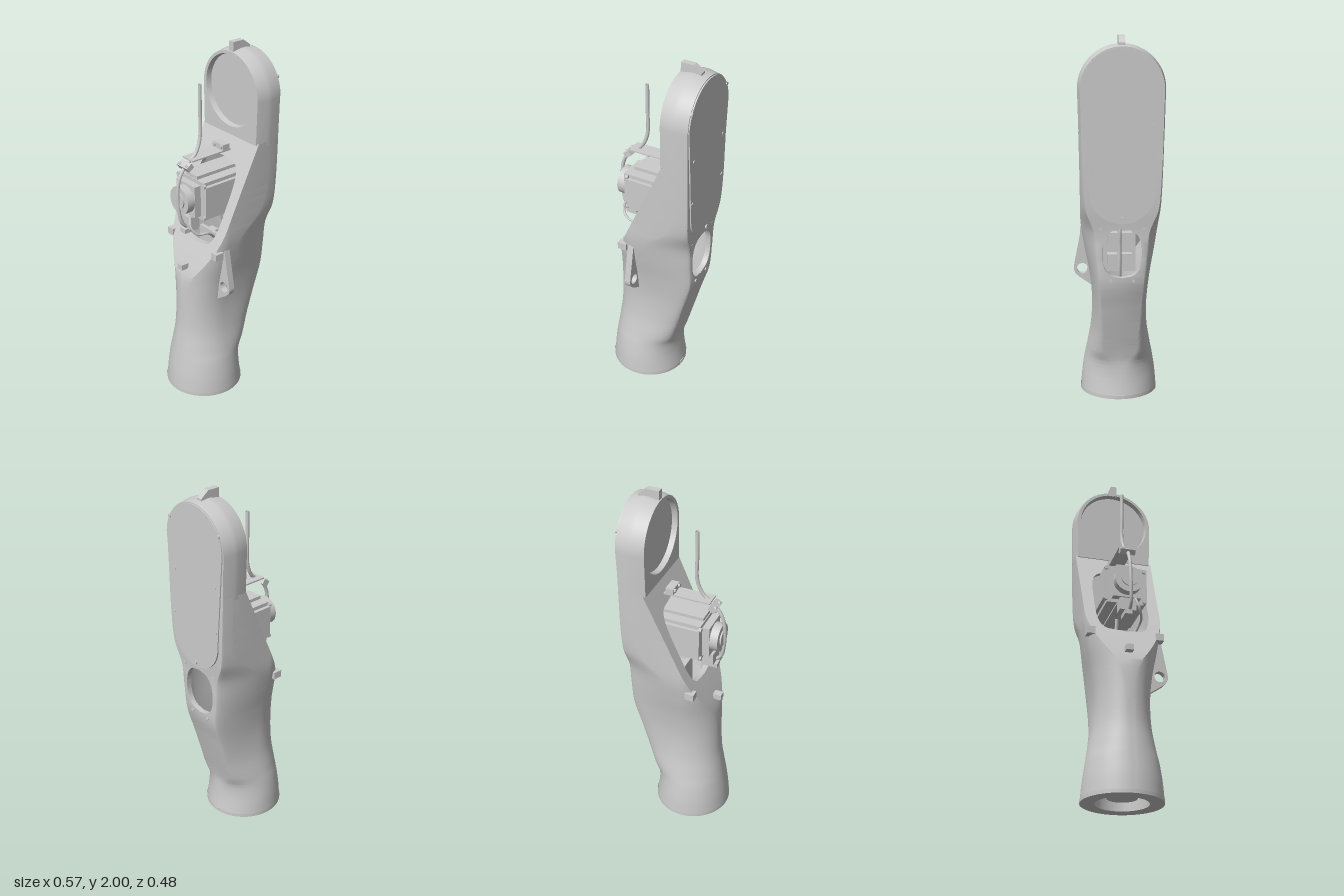
import * as THREE from 'three';
import { toCreasedNormals } from 'three/addons/utils/BufferGeometryUtils.js';

const grey = new THREE.MeshStandardMaterial({ color: 0xcccccc });
const greyDouble = new THREE.MeshStandardMaterial({ color: 0xcccccc, side: THREE.DoubleSide });
const ZC = -0.01; // depth of the symmetry plane

// Body outline by height: y, back x, front x, back curve centre x, half width,
// front corner exponent, half width of the flat front, x where the front corner starts
const rows = [
  [0, -0.285, 0.145, -0.07, 0.215, 2, 0, -0.07], [0.1, -0.277, 0.131, -0.07, 0.207, 2, 0, -0.07],
  [0.2, -0.264, 0.125, -0.07, 0.192, 2, 0.03, -0.07], [0.27, -0.254, 0.136, -0.06, 0.178, 2, 0.08, -0.06],
  [0.4, -0.237, 0.17, -0.05, 0.156, 2, 0.095, -0.05], [0.55, -0.231, 0.21, -0.05, 0.15, 2, 0.105, -0.04],
  [0.7, -0.228, 0.25, -0.05, 0.165, 1.7, 0.115, -0.02], [0.85, -0.226, 0.255, -0.06, 0.193, 1.5, 0.13, -0.01],
  [0.98, -0.225, 0.256, -0.06, 0.212, 1.4, 0.145, 0.02], [1.1, -0.225, 0.265, -0.06, 0.214, 1.3, 0.19, 0.15],
  [1.25, -0.225, 0.27, -0.06, 0.217, 1.2, 0.204, 0.2], [1.5, -0.225, 0.27, -0.06, 0.224, 1.1, 0.213, 0.205],
];

// Smooth interpolation of the outline table
function outline(y) {
  let k = 0;
  while (k < rows.length - 2 && y > rows[k + 1][0]) k++;
  const a = rows[k], b = rows[k + 1], h = b[0] - a[0], s = (y - a[0]) / h;
  const p = rows[Math.max(k - 1, 0)], n = rows[Math.min(k + 2, rows.length - 1)];
  return a.map((v, i) => {
    const m0 = (b[i] - p[i]) / (b[0] - p[0]) * h, m1 = (n[i] - v) / (n[0] - a[0]) * h;
    return v + s * m0 + s * s * (3 * (b[i] - v) - 2 * m0 - m1) + s * s * s * (2 * (v - b[i]) + m0 + m1);
  });
}

// Half width of an opening between two heights
function opening(y, y0, y1, half, n) {
  const u = Math.abs((2 * y - y0 - y1) / (y1 - y0));
  return u >= 0.999 ? 0 : half * Math.pow(1 - Math.pow(u, n), 1 / n);
}
const windowAt = y => opening(y, 0.73, 1.0, 0.107, 2.4);
const pocketAt = y => opening(y, 0.93, 1.38, 0.15, 4);

// Half cross-section from the front window edge round to the slanted pocket edge
function section(y, inset) {
  let [, xl, xr, c, hw, n, f, cr] = outline(y);
  xl += inset; xr -= inset; hw -= inset;
  const w = windowAt(y), slant = -0.175 + (y - 0.84) * 0.453 + inset;
  const cut = (xl + slant + Math.sqrt((xl - slant) ** 2 + 0.0006)) / 2;
  c = Math.max(c, cut);
  cr = Math.max(cr - inset, c);
  f = Math.max(f - inset / 2, w + 0.003, 0);
  const pts = [[xr, w]], K = 14, L = 12;
  for (let i = 0; i <= K; i++) {
    const t = Math.PI / 2 * i / K;
    pts.push([cr + (xr - cr) * Math.pow(Math.max(Math.cos(t), 0), 2 / n), f + (hw - f) * Math.pow(Math.sin(t), 2 / n)]);
  }
  const end = Math.acos(Math.min(Math.max((c - cut) / (c - xl || 1), 0), 1));
  for (let i = 0; i <= L; i++) {
    const t = Math.PI / 2 + (end - Math.PI / 2) * i / L;
    pts.push([c - (c - xl) * Math.cos(t), hw * Math.sin(t)]);
  }
  pts.push([cut, Math.min(pocketAt(y), pts[pts.length - 1][1])]);
  return pts;
}

// Hollow body: outer and inner skins with rims round both openings
function bodyGeometry() {
  const pos = [], N = 150;
  const quad = (a, b, c, d, flip) => {
    for (const v of flip ? [a, c, b, b, c, d] : [a, b, c, b, d, c]) pos.push(...v);
  };
  for (const s of [1, -1]) {
    const skin = inset => Array.from({ length: N + 1 }, (_, i) =>
      section(i / 100, inset).map(([x, z]) => [x, i / 100, ZC + s * z]));
    const outer = skin(0), inner = skin(0.03), last = outer[0].length - 1;
    for (let i = 0; i < N; i++) {
      for (let j = 0; j < last; j++) {
        quad(outer[i][j], outer[i + 1][j], outer[i][j + 1], outer[i + 1][j + 1], s < 0);
        quad(inner[i][j], inner[i + 1][j], inner[i][j + 1], inner[i + 1][j + 1], s > 0);
      }
      const y = i / 100, y2 = (i + 1) / 100;
      if (windowAt(y) + windowAt(y2) > 0) quad(outer[i][0], outer[i + 1][0], inner[i][0], inner[i + 1][0], s > 0);
      if (pocketAt(y) + pocketAt(y2) > 0) quad(outer[i][last], outer[i + 1][last], inner[i][last], inner[i + 1][last], s < 0);
    }
  }
  const g = new THREE.BufferGeometry();
  g.setAttribute('position', new THREE.Float32BufferAttribute(pos, 3));
  return toCreasedNormals(g, 0.6);
}

export function createModel() {
  const model = new THREE.Group();
  const add = (name, geo, x = 0, y = 0, z = 0, mat = grey) => {
    const m = new THREE.Mesh(geo, mat);
    m.name = name;
    m.position.set(x, y, z);
    model.add(m);
    return m;
  };
  // Box given by its bounds
  const box = (name, x0, x1, y0, y1, z0, z1) => add(name,
    new THREE.BoxGeometry(x1 - x0, y1 - y0, z1 - z0), (x0 + x1) / 2, (y0 + y1) / 2, (z0 + z1) / 2);
  // Cylinder along x
  const rod = (name, r, x0, x1, y, z, sides = 32) => add(name,
    new THREE.CylinderGeometry(r, r, x1 - x0, sides).rotateZ(Math.PI / 2), (x0 + x1) / 2, y, z);
  // Outline drawn in (-z, y), extruded along x
  const slab = (name, shape, x0, x1, z = ZC, bevel = 0, run = 0) => add(name, toCreasedNormals(
    new THREE.ExtrudeGeometry(shape, {
      depth: x1 - x0 - 2 * run, curveSegments: 32, bevelEnabled: bevel > 0,
      bevelSize: bevel, bevelThickness: run, bevelSegments: 1,
    }).translate(0, 0, run).rotateY(Math.PI / 2), 0.5), x0, 0, z);

  add('body', bodyGeometry(), 0, 0, 0, greyDouble);

  // Mounting flange with recess and centre boss underneath
  const flange = [[0.216, 0.02], [0.216, 0], [0.14, 0], [0.14, 0.09], [0.08, 0.09], [0.08, 0.03], [0, 0.03]]
    .map(p => new THREE.Vector2(...p));
  add('baseFlange', toCreasedNormals(new THREE.LatheGeometry(flange, 48), 0.5), -0.07, 0, ZC, greyDouble);
  box('baseNotch', 0.13, 0.147, 0.003, 0.02, ZC - 0.02, ZC + 0.02);

  // Round head, dished on the back
  const head = new THREE.Shape();
  head.moveTo(-0.212, 1.49);
  head.lineTo(0.212, 1.49);
  head.lineTo(0.218, 1.73);
  head.absarc(0, 1.73, 0.218, 0, Math.PI, false);
  head.closePath();
  head.holes.push(new THREE.Path().absarc(0, 1.735, 0.198, 0, Math.PI * 2, true));
  slab('head', head, 0.115, 0.27, ZC, 0.012, 0.065);
  rod('headDishFloor', 0.204, 0.145, 0.2, 1.735, ZC, 48);

  // Tapered cover plate with its bolts
  const cover = new THREE.Shape();
  cover.absarc(0, 1.73, 0.213, 0.06, Math.PI - 0.06, false);
  cover.absarc(0, 1.205, 0.175, Math.PI + 0.06, Math.PI * 2 - 0.06, false);
  cover.closePath();
  slab('coverPlate', cover, 0.23, 0.277);
  for (const s of [1, -1]) {
    for (const [y, z] of [[1.83, 0.185], [1.55, 0.16], [1.3, 0.165]]) rod('coverBolt', 0.01, 0.27, 0.281, y, ZC + s * z, 12);
    for (const [y, z] of [[1.0, 0.115], [0.715, 0.06]]) rod('frameBolt', 0.009, 0.245, 0.259, y, ZC + s * z, 12);
  }
  rod('coverBolt', 0.012, 0.27, 0.285, 1.055, ZC, 12);

  // Locating tab on top of the head
  const tab = new THREE.Shape([[0.12, 1.93], [0.235, 1.93], [0.235, 1.965], [0.19, 2], [0.12, 2]]
    .map(p => new THREE.Vector2(...p)));
  add('topTab', new THREE.ExtrudeGeometry(tab, { depth: 0.034, bevelEnabled: false }), 0, 0, ZC - 0.017);

  // Lifting eye on the left flank
  const eye = new THREE.Shape();
  eye.moveTo(-0.13, 0.6);
  eye.lineTo(-0.215, 0.66);
  eye.absarc(-0.193, 0.705, 0.047, 4.2, Math.PI - 0.15, true);
  eye.lineTo(-0.197, 0.93);
  eye.lineTo(-0.12, 0.93);
  eye.closePath();
  eye.holes.push(new THREE.Path().absarc(-0.193, 0.705, 0.03, 0, Math.PI * 2, false));
  slab('liftingEye', eye, -0.09, -0.055, 0);

  // Small lugs round the body
  for (const s of [1, -1]) box('sideLug', -0.152, -0.1, 0.89, 0.93, ZC + s * 0.19 - 0.022, ZC + s * 0.19 + 0.022);
  box('backLug', -0.237, -0.19, 0.78, 0.812, ZC - 0.02, ZC + 0.02);

  // Motor lying along x in the pocket
  box('motorBody', -0.145, 0.19, 1.09, 1.31, -0.115, 0.09);
  box('motorCore', -0.145, 0.19, 1.11, 1.29, -0.135, 0.11);
  box('motorRib', -0.14, 0.19, 1.08, 1.328, -0.06, 0.03);
  box('motorEndCap', -0.185, -0.145, 1.11, 1.29, -0.09, 0.065);
  rod('encoder', 0.078, -0.23, -0.18, 1.2, -0.012);
  rod('encoderCap', 0.045, -0.238, -0.228, 1.2, -0.012);
  for (const y of [1.11, 1.295]) for (const z of [-0.12, 0.095]) rod('motorBolt', 0.012, -0.155, -0.14, y, z, 12);
  box('motorConnector', -0.195, -0.13, 1.03, 1.1, -0.055, 0.035);
  box('cableSocket', -0.21, -0.12, 1.0, 1.025, -0.03, 0.01);

  // Cable bracket above the motor
  box('bracketFoot', 0.035, 0.08, 1.425, 1.458, -0.055, 0.03);
  for (const z of [-0.04, 0.015]) rod('bracketBolt', 0.01, 0.025, 0.04, 1.445, z, 12);
  box('bracketStrip', -0.17, 0.09, 1.418, 1.426, -0.055, 0.03);
  box('cableClamp', -0.205, -0.165, 1.375, 1.405, -0.055, 0.03).rotation.z = 0.6;
  for (const z of [-0.04, 0.015]) rod('clampBolt', 0.01, -0.205, -0.18, 1.395, z, 12);

  // Cables
  const cable = (name, pts, r) => add(name, new THREE.TubeGeometry(
    new THREE.CatmullRomCurve3(pts.map(p => new THREE.Vector3(...p))), 60, r, 10), 0, 0, 0, greyDouble);
  cable('mainCable', [[-0.083, 1.815, -0.015], [-0.083, 1.68, -0.015], [-0.085, 1.52, -0.015], [-0.12, 1.44, -0.01],
    [-0.185, 1.39, -0.01], [-0.232, 1.31, -0.01], [-0.236, 1.13, -0.005], [-0.215, 1.06, 0], [-0.15, 1.015, 0]], 0.01);
  cable('lowerCable', [[-0.19, 1.11, 0.03], [-0.2, 1.05, 0.05], [-0.17, 1.01, 0.07], [-0.11, 1.0, 0.08], [-0.05, 0.95, 0.06]], 0.007);
  cable('innerCable', [[0.04, 1.08, ZC], [0.06, 0.95, ZC], [0.05, 0.85, ZC], [0.04, 0.72, ZC], [-0.02, 0.5, ZC]], 0.01);

  // Connector blocks behind the window
  box('innerPlate', -0.02, 0.0, 0.7, 0.95, -0.1, 0.08);
  for (const y of [0.78, 0.9]) for (const z of [-0.05, 0.03]) box('innerConnector', 0, 0.05, y - 0.03, y + 0.03, z - 0.028, z + 0.028);

  return model;
}
